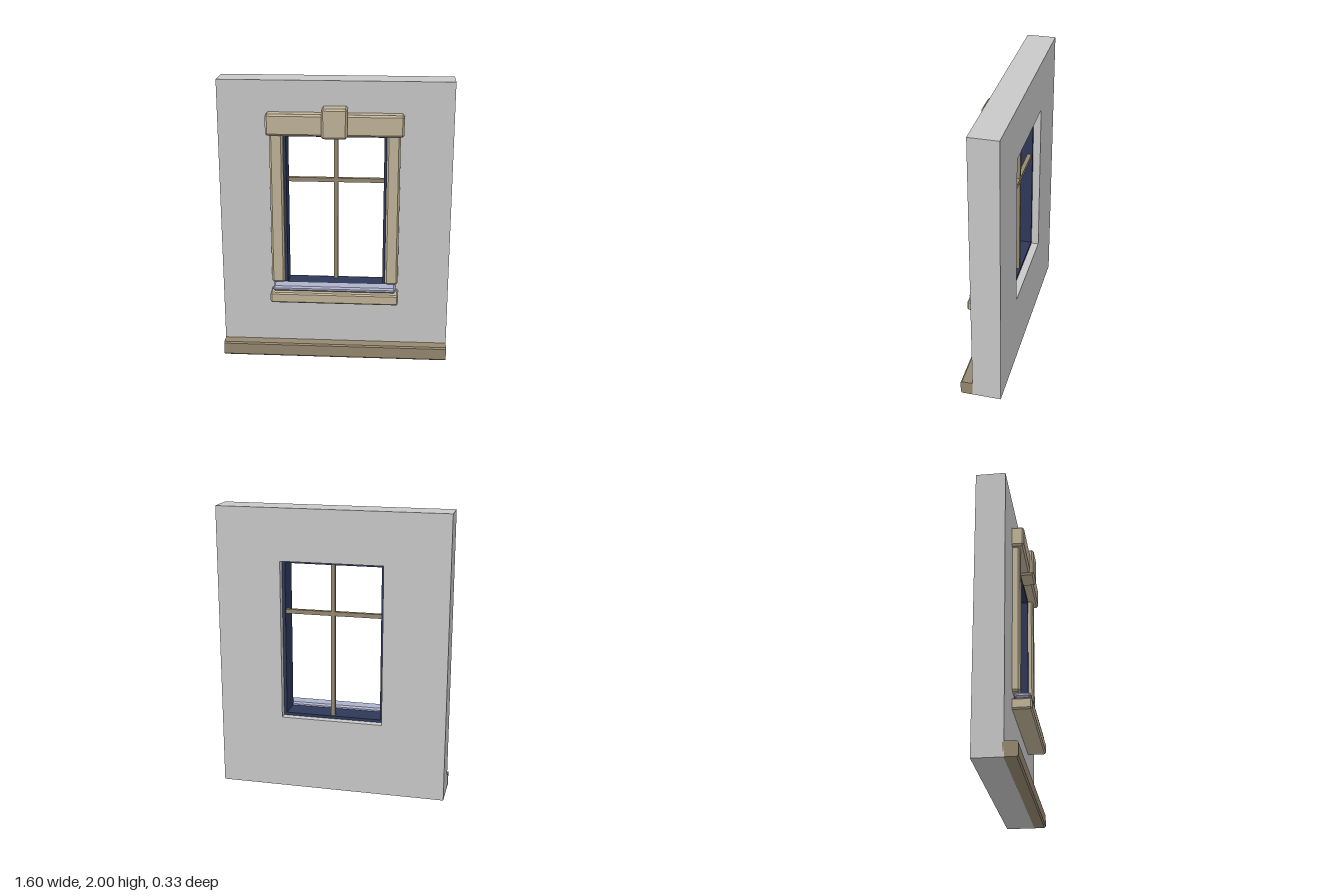
import * as THREE from 'three';
import { ConvexGeometry } from 'three/addons/geometries/ConvexGeometry.js';

const material = (name, color) => {
  const m = new THREE.MeshStandardMaterial({ color });
  m.name = name;
  return m;
};

// Box between two corners, with chamfered edges; chamfer may be 0 along x for flat ends
function chamferedBox(min, max, b, flatEnds = false) {
  const inset = [flatEnds ? 0 : b, b, b];
  const points = [];
  for (let k = flatEnds ? 1 : 0; k < 3; k++)
    for (let corner = 0; corner < 8; corner++) {
      const p = [0, 1, 2].map((a) => {
        const d = a === k ? 0 : inset[a];
        return (corner >> a) & 1 ? max[a] - d : min[a] + d;
      });
      points.push(new THREE.Vector3(...p));
    }
  return new ConvexGeometry(points);
}

function plainBox(min, max) {
  const size = max.map((v, i) => v - min[i]);
  return new THREE.BoxGeometry(...size)
    .translate(...max.map((v, i) => (v + min[i]) / 2));
}

// Rectangular panel with a rectangular hole, from z0 to z1
function panelWithHole(outer, hole, z0, z1) {
  const corners = ([x, y0, y1]) => [[-x, y0], [x, y0], [x, y1], [-x, y1]]
    .map(([px, py]) => new THREE.Vector2(px, py));
  const shape = new THREE.Shape(corners(outer));
  shape.holes.push(new THREE.Path(corners(hole).reverse()));
  return new THREE.ExtrudeGeometry(shape, { depth: z1 - z0, bevelEnabled: false })
    .translate(0, 0, z0);
}

export function createModel() {
  const group = new THREE.Group();
  group.name = 'windowWall';
  const plaster = material('grey plaster', 0xc8c8c8);
  const stone = material('pale stone', 0xc1b499);
  const darkStone = material('dark stone', 0x958870);
  const navy = material('navy frame', 0x2e3858);
  const lilac = material('lilac sill', 0xaeb2cb);

  const add = (name, geometry, mat) => {
    const mesh = new THREE.Mesh(geometry, mat);
    mesh.name = name;
    group.add(mesh);
  };

  // Wall and the frame lining its opening: [half width, bottom, top]
  const opening = [0.356, 0.52, 1.64];
  const inner = [0.335, 0.54, 1.62];
  add('wall', panelWithHole([0.8, 0, 2], opening, -0.164, 0.036), plaster);
  add('windowFrame', panelWithHole(opening, inner, -0.112, 0.05), navy);

  // Glazing bars
  add('verticalBar', plainBox([-0.0145, 0.54, -0.105], [0.0145, 1.62, -0.076]), darkStone);
  add('horizontalBar', plainBox([-0.335, 1.265, -0.105], [0.335, 1.294, -0.076]), darkStone);

  // Stone surround
  for (const [name, x0, x1] of [['leftJamb', 0.352, 0.444], ['rightJamb', -0.444, -0.352]])
    add(name, chamferedBox([x0, 0.565, 0.02], [x1, 1.645, 0.087], 0.013), stone);
  add('lintel', chamferedBox([-0.467, 1.637, 0.02], [0.467, 1.785, 0.118], 0.013), stone);
  add('keystone', chamferedBox([-0.0875, 1.624, 0.02], [0.0875, 1.83, 0.143], 0.013), stone);
  add('lowerSill', chamferedBox([-0.448, 0.44, 0.02], [0.448, 0.516, 0.164], 0.01), stone);
  add('upperSill', chamferedBox([-0.429, 0.526, 0.046], [0.429, 0.562, 0.154], 0.012), lilac);

  // Moulding along the foot of the wall
  add('baseMoulding', chamferedBox([-0.8, 0, 0.023], [0.8, 0.1, 0.12], 0.01, true), darkStone);

  return group;
}
